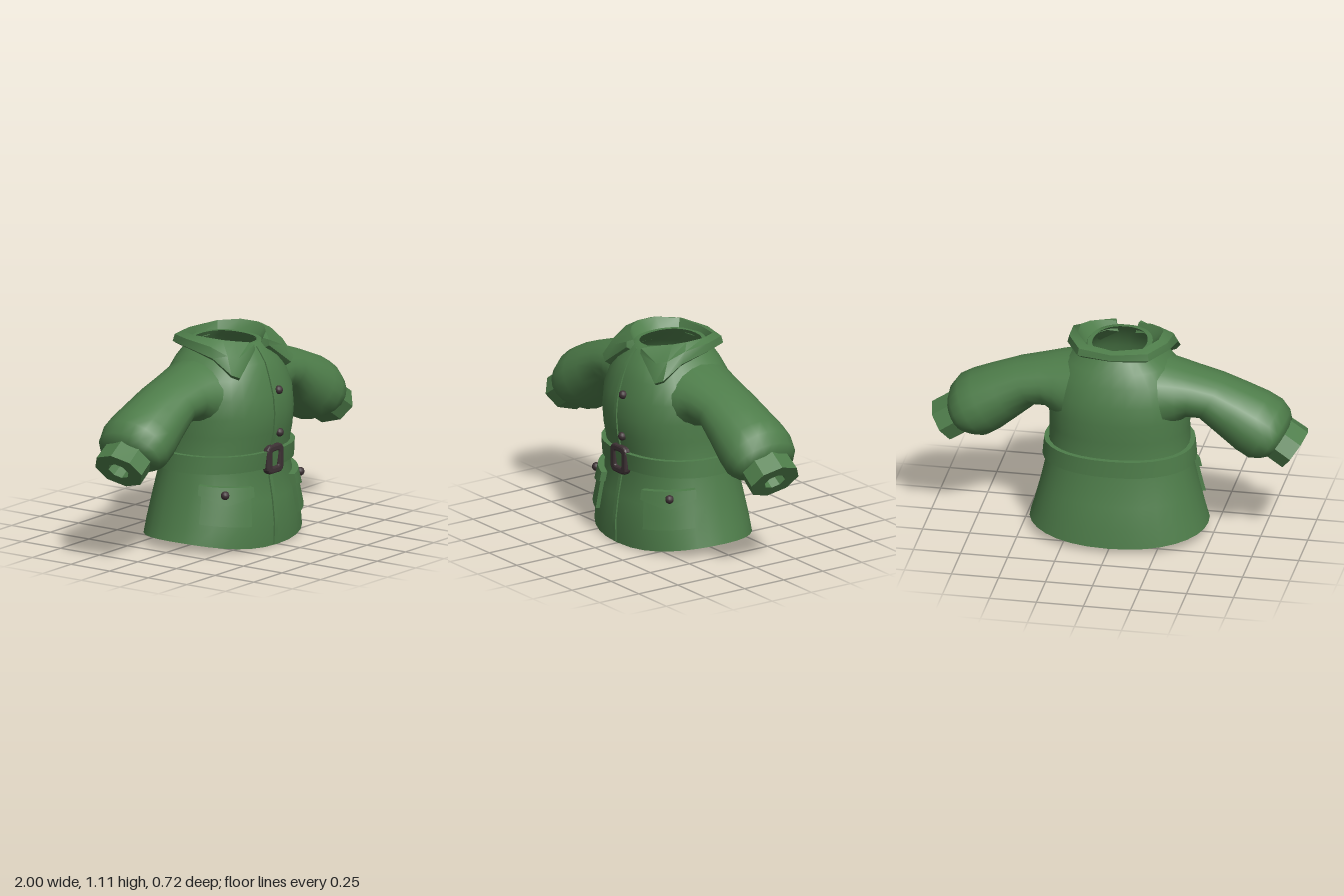
import * as THREE from 'three';
import { toCreasedNormals } from 'three/addons/utils/BufferGeometryUtils.js';

const V = (x, y, z) => new THREE.Vector3(x, y, z);
const lerp = THREE.MathUtils.lerp;

// Coat profile, hem to neck: y, half width, front depth, back depth
const PROFILE = [
  [0.03, 0.472, 0.355, 0.355], [0.12, 0.452, 0.358, 0.345], [0.25, 0.418, 0.342, 0.32],
  [0.40, 0.385, 0.312, 0.285], [0.52, 0.368, 0.325, 0.278], [0.60, 0.366, 0.346, 0.281],
  [0.70, 0.37, 0.355, 0.288], [0.80, 0.365, 0.345, 0.28], [0.90, 0.33, 0.315, 0.25],
  [0.97, 0.27, 0.287, 0.22], [1.03, 0.195, 0.24, 0.185], [1.06, 0.168, 0.21, 0.168],
];
const SIDES = 32;
const soft = (v) => Math.sign(v) * Math.abs(v) ** 0.9;

// Point on the coat at an angle (0 = front, + = left) and height, pushed out by off
function coatPoint(angle, y, off = 0) {
  let i = 0;
  while (i < PROFILE.length - 2 && y > PROFILE[i + 1][0]) i++;
  const p = PROFILE[i], q = PROFILE[i + 1];
  const t = THREE.MathUtils.clamp((y - p[0]) / (q[0] - p[0]), 0, 1);
  const s = Math.sin(angle), c = Math.cos(angle);
  const k = c > 0 ? 2 : 3;
  return V(soft(s) * lerp(p[1], q[1], t) + s * off, y, soft(c) * lerp(p[k], q[k], t) + c * off);
}

// Skin through a row of closed rings
function loft(rings, crease = 0.8) {
  const n = rings[0].length, pos = [], idx = [];
  rings.forEach((r) => r.forEach((p) => pos.push(p.x, p.y, p.z)));
  for (let r = 0; r < rings.length - 1; r++) {
    for (let i = 0; i < n; i++) {
      const a = r * n + i, b = r * n + (i + 1) % n;
      idx.push(a, b, b + n, a, b + n, a + n);
    }
  }
  const g = new THREE.BufferGeometry();
  g.setAttribute('position', new THREE.Float32BufferAttribute(pos, 3));
  g.setIndex(idx);
  return toCreasedNormals(g, crease);
}

function coatRing(y, off) {
  return Array.from({ length: SIDES }, (_, i) => {
    const a = (i / SIDES) * Math.PI * 2, c = Math.cos(a);
    const p = coatPoint(a, y, off);
    // the hem dips at the front and back
    if (y === PROFILE[0][0]) p.y = 0.055 - (c > 0 ? 0.055 : 0.028) * c * c;
    return p;
  });
}

// Thin padded panel that follows the coat between two angles
function panel(mid, width, top, bottom, thick, rows = 3) {
  const g = new THREE.BoxGeometry(1, 1, 1, 8, rows, 1);
  const p = g.attributes.position;
  for (let i = 0; i < p.count; i++) {
    const angle = mid + p.getX(i) * width;
    const u = Math.sign(mid) * p.getX(i) + 0.5;
    const q = coatPoint(angle, lerp(bottom(u), top(u), p.getY(i) + 0.5), p.getZ(i) > 0 ? thick : -0.01);
    p.setXYZ(i, q.x, q.y, q.z);
  }
  return toCreasedNormals(g, 0.6);
}

// Oval ring of a sleeve, from its top and bottom points and half depth
function sleeveRing([tx, ty, bx, by, w], side, n, z = 0) {
  return Array.from({ length: n }, (_, i) => {
    const a = (i / n) * Math.PI * 2, c = Math.cos(a);
    return V(side * ((tx + bx) / 2 + c * (tx - bx) / 2), (ty + by) / 2 + c * (ty - by) / 2, z + side * w * Math.sin(a));
  });
}

function roundedRect(path, w, h, r) {
  const x = w / 2, y = h / 2;
  path.moveTo(-x + r, -y).lineTo(x - r, -y).quadraticCurveTo(x, -y, x, -y + r)
    .lineTo(x, y - r).quadraticCurveTo(x, y, x - r, y).lineTo(-x + r, y)
    .quadraticCurveTo(-x, y, -x, y - r).lineTo(-x, -y + r).quadraticCurveTo(-x, -y, -x + r, -y);
  return path;
}

export function createModel() {
  const model = new THREE.Group();
  model.name = 'coat';
  const cloth = new THREE.MeshStandardMaterial({ color: 0x4e7d4a, side: THREE.DoubleSide });
  cloth.name = 'green cloth';
  const dark = new THREE.MeshStandardMaterial({ color: 0x3d3134 });
  dark.name = 'dark brown trim';
  const add = (name, geometry, material = cloth) => {
    const m = new THREE.Mesh(geometry, material);
    m.name = name;
    model.add(m);
    return m;
  };

  // Hollow body with a thick hem and open neck
  const outer = PROFILE.map((r) => coatRing(r[0], 0));
  const inner = PROFILE.map((r) => coatRing(r[0], -0.025)).reverse();
  add('body', loft([...outer, ...inner, outer[0]]));

  // Front closing strip
  add('placket', panel(-0.035, 0.045, () => 1.045, () => 0.006, 0.008, 28));

  // Belt
  add('belt', loft([[0.415, 0.022], [0.507, 0.026], [0.507, -0.01], [0.415, -0.01], [0.415, 0.022]]
    .map(([y, off]) => coatRing(y, off))));

  // Buckle
  const frame = roundedRect(new THREE.Shape(), 0.12, 0.135, 0.03);
  frame.holes.push(roundedRect(new THREE.Path(), 0.078, 0.1, 0.02));
  const buckle = add('buckle', new THREE.ExtrudeGeometry(frame, {
    depth: 0.02, bevelSize: 0.01, bevelThickness: 0.01, bevelSegments: 2, curveSegments: 4,
  }), dark);
  buckle.position.set(-0.007, 0.457, 0.322);

  // Buttons
  const button = (name, p) => {
    const b = add(name, new THREE.SphereGeometry(0.023, 10, 8), dark);
    b.position.copy(p);
  };
  button('upperButton', coatPoint(0.06, 0.82, 0.003));
  button('lowerButton', coatPoint(0.06, 0.593, 0.003));

  for (const side of [1, -1]) {
    const hand = side > 0 ? 'left' : 'right';

    // Sleeve, puffed above the cuff
    add(hand + 'Sleeve', loft([
      [0.22, 0.99, 0.29, 0.62, 0.23], [0.32, 0.968, 0.33, 0.65, 0.205], [0.41, 0.943, 0.37, 0.685, 0.188],
      [0.55, 0.908, 0.43, 0.685, 0.176], [0.68, 0.862, 0.53, 0.60, 0.186], [0.79, 0.818, 0.62, 0.525, 0.2],
      [0.86, 0.778, 0.69, 0.482, 0.203], [0.90, 0.72, 0.75, 0.484, 0.19], [0.91, 0.67, 0.79, 0.495, 0.165],
      [0.89, 0.63, 0.81, 0.53, 0.1],
    ].map((r) => sleeveRing(r, side, 20)), 1.2));

    // Eight-sided cuff with a small opening
    add(hand + 'Cuff', loft([
      [0.895, 0.69, 0.76, 0.50, 0.145], [1.0, 0.62, 0.865, 0.43, 0.15],
      [0.962, 0.567, 0.903, 0.483, 0.064], [0.90, 0.61, 0.841, 0.526, 0.06], [0.871, 0.568, 0.871, 0.568, 0],
    ].map((r) => sleeveRing(r, side, 8, 0.008)), 0.5));

    // Pocket, pointed flap and its button
    add(hand + 'Pocket', panel(side * 0.80, 0.74, () => 0.32, (u) => 0.13 + 0.03 * u, 0.02));
    add(hand + 'PocketFlap', panel(side * 0.80, 0.82, (u) => 0.335 + 0.025 * u,
      (u) => 0.285 + 0.025 * u - 0.045 * (1 - Math.abs(2 * u - 1)), 0.032));
    button(hand + 'PocketButton', coatPoint(side * 0.82, 0.31, 0.036));
  }

  // Collar: inner edge, fold and outer edge at stations from front to back
  const half = [
    [V(0.045, 1.02, 0.2), V(0.06, 1.075, 0.215), V(0.062, 1.04, 0.255)],
    [V(0.1, 1.04, 0.165), V(0.135, 1.09, 0.18), V(0.225, 0.922, 0.278)],
    [V(0.13, 1.045, 0.12), V(0.185, 1.1, 0.135), V(0.275, 0.945, 0.258)],
    [V(0.16, 1.05, 0.05), V(0.22, 1.11, 0.07), V(0.282, 1.02, 0.14)],
    [V(0.165, 1.05, -0.04), V(0.215, 1.11, -0.04), V(0.27, 1.055, -0.04)],
    [V(0.125, 1.04, -0.125), V(0.15, 1.1, -0.145), V(0.19, 1.05, -0.185)],
  ];
  const back = [V(0, 1.03, -0.165), V(0, 1.09, -0.18), V(0, 1.05, -0.222)];
  const mirrored = half.map((s) => s.map((p) => V(-p.x, p.y, p.z))).reverse();
  const sections = [...half, back, ...mirrored].map(([a, fold, edge]) => {
    const out = V(edge.x, 0, edge.z).normalize();
    const bulge = fold.clone().lerp(edge, 0.5).addScaledVector(out, 0.018);
    bulge.y += 0.012;
    const under = edge.clone().addScaledVector(out, -0.03);
    under.y -= 0.018;
    return [a, fold, bulge, edge, under].reverse();
  });
  // close both front ends
  const cap = (s) => {
    const c = s.reduce((t, p) => t.add(p), V(0, 0, 0)).divideScalar(s.length);
    return s.map(() => c);
  };
  add('collar', loft([cap(sections[0]), ...sections, cap(sections[sections.length - 1])], 0.6));

  return model;
}
